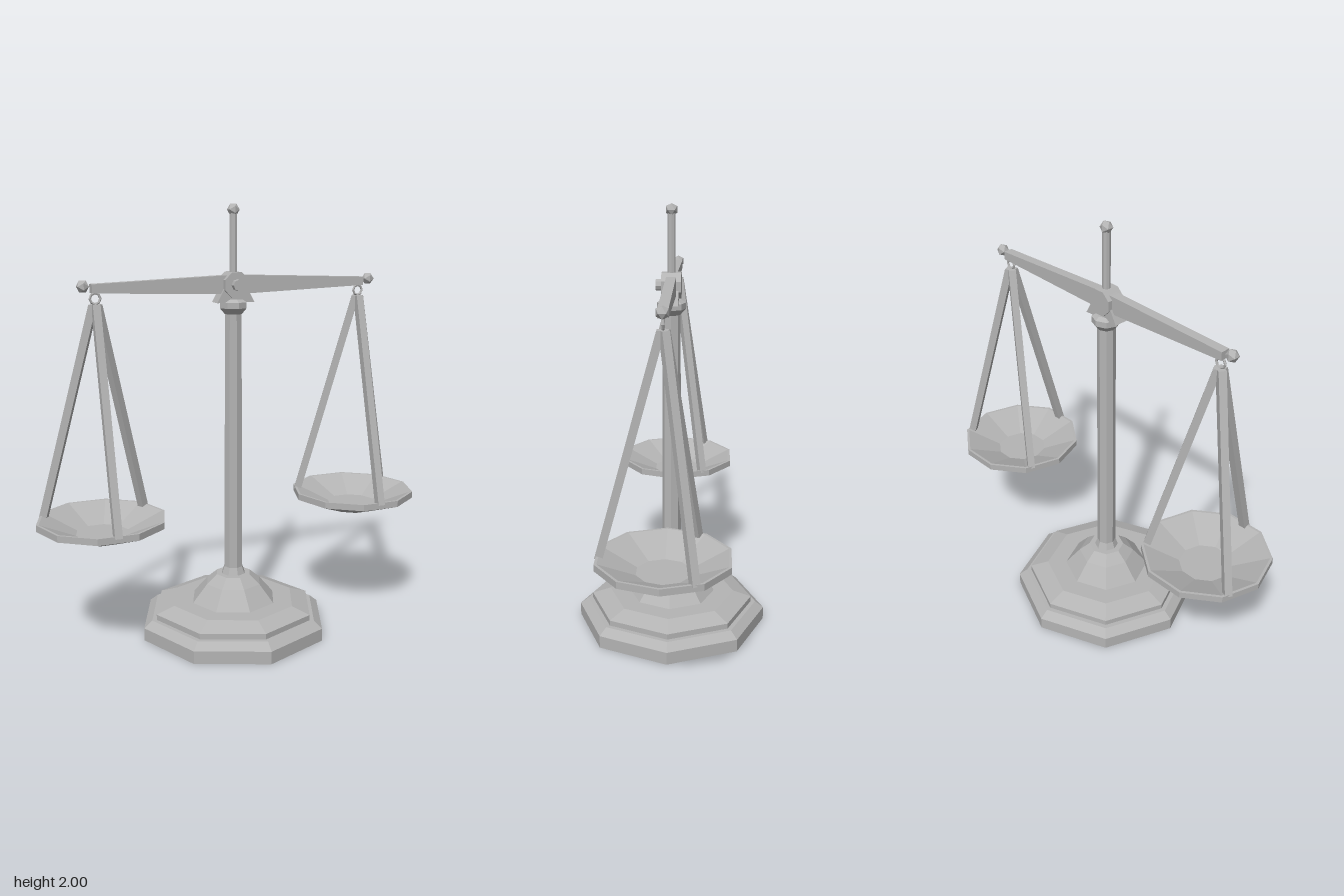
import * as THREE from 'three';

const metal = new THREE.MeshStandardMaterial({ color: 0xb4b4b4, flatShading: true });
metal.name = 'grey metal';

function add(parent, name, geometry, x = 0, y = 0, z = 0) {
  const mesh = new THREE.Mesh(geometry, metal);
  mesh.name = name;
  mesh.position.set(x, y, z);
  parent.add(mesh);
  return mesh;
}

// Faceted turned solid from [radius, height] pairs
function turned(profile, sides, start = 0) {
  return new THREE.LatheGeometry(profile.map(([r, y]) => new THREE.Vector2(r, y)), sides, start);
}

// Flat outline extruded symmetrically about z = 0
function plate(points, depth) {
  const shape = new THREE.Shape(points.map(([x, y]) => new THREE.Vector2(x, y)));
  return new THREE.ExtrudeGeometry(shape, { depth, bevelEnabled: false }).translate(0, 0, -depth / 2);
}

// Leaning rod with level ends: its centre moves from z = 0.27 at the foot to z = 0.008 at the tip
function rodGeometry(bottom, top) {
  const g = new THREE.BoxGeometry(0.034, top - bottom, 0.036);
  const p = g.attributes.position;
  for (let i = 0; i < p.count; i++) {
    p.setZ(i, p.getZ(i) + (p.getY(i) > 0 ? 0.008 : 0.27));
  }
  return g.translate(0, (top + bottom) / 2, 0);
}

// Ring, three rods and a dish, hanging at one end of the beam
function hangingPan(name, x) {
  const pan = new THREE.Group();
  pan.name = name;
  pan.position.x = x;
  add(pan, 'hangingRing', new THREE.TorusGeometry(0.023, 0.006, 5, 8), 0, 1.602);
  const rod = rodGeometry(0.615, 1.577);
  for (let i = 0; i < 3; i++) {
    add(pan, 'panRod', rod).rotation.y = (i * Math.PI * 2) / 3;
  }
  add(pan, 'dish', turned([
    [0, 0.53], [0.115, 0.53], [0.295, 0.595], [0.295, 0.625],
    [0.283, 0.625], [0.12, 0.555], [0, 0.555],
  ], 10, Math.PI / 2));
  return pan;
}

export function createModel() {
  const model = new THREE.Group();
  model.name = 'balanceScale';

  // Stepped octagonal foot
  add(model, 'base', turned([
    [0, 0], [0.45, 0], [0.45, 0.06], [0.41, 0.092], [0.388, 0.092],
    [0.388, 0.118], [0.3, 0.148], [0, 0.148],
  ], 8));
  add(model, 'baseDome', turned([
    [0.207, 0.147], [0.135, 0.232], [0.085, 0.275], [0, 0.275],
  ], 8));

  // Column with flared foot and capital
  add(model, 'column', turned([
    [0.058, 0.274], [0.045, 0.31], [0.041, 1.513], [0.065, 1.54],
    [0.065, 1.567], [0.045, 1.58], [0, 1.58],
  ], 8));

  // Pivot: bracket, octagonal hub and front bolt
  add(model, 'bracket', plate([[-0.09, 1.566], [0.09, 1.566], [0.052, 1.635], [-0.052, 1.635]], 0.066));
  const hub = new THREE.CylinderGeometry(0.061, 0.061, 0.088, 8).rotateY(Math.PI / 8).rotateX(Math.PI / 2);
  add(model, 'pivotHub', hub, 0, 1.645);
  const bolt = new THREE.CylinderGeometry(0.026, 0.026, 0.03, 8).rotateX(Math.PI / 2);
  add(model, 'pivotBolt', bolt, 0, 1.645, 0.055);

  // Tapered beam
  add(model, 'beam', plate([
    [-0.655, 1.626], [-0.05, 1.604], [0.05, 1.604], [0.655, 1.626],
    [0.655, 1.664], [0.05, 1.687], [-0.05, 1.687], [-0.655, 1.664],
  ], 0.044));

  // Top spindle and ball finials
  add(model, 'spindle', new THREE.CylinderGeometry(0.018, 0.018, 0.3, 8), 0, 1.82);
  const ball = new THREE.IcosahedronGeometry(0.029, 0);
  add(model, 'topFinial', ball, 0, 1.974);
  for (const side of [-1, 1]) {
    add(model, side > 0 ? 'leftFinial' : 'rightFinial', ball, side * 0.69, 1.655);
    model.add(hangingPan(side > 0 ? 'leftPan' : 'rightPan', side * 0.637));
  }
  return model;
}
